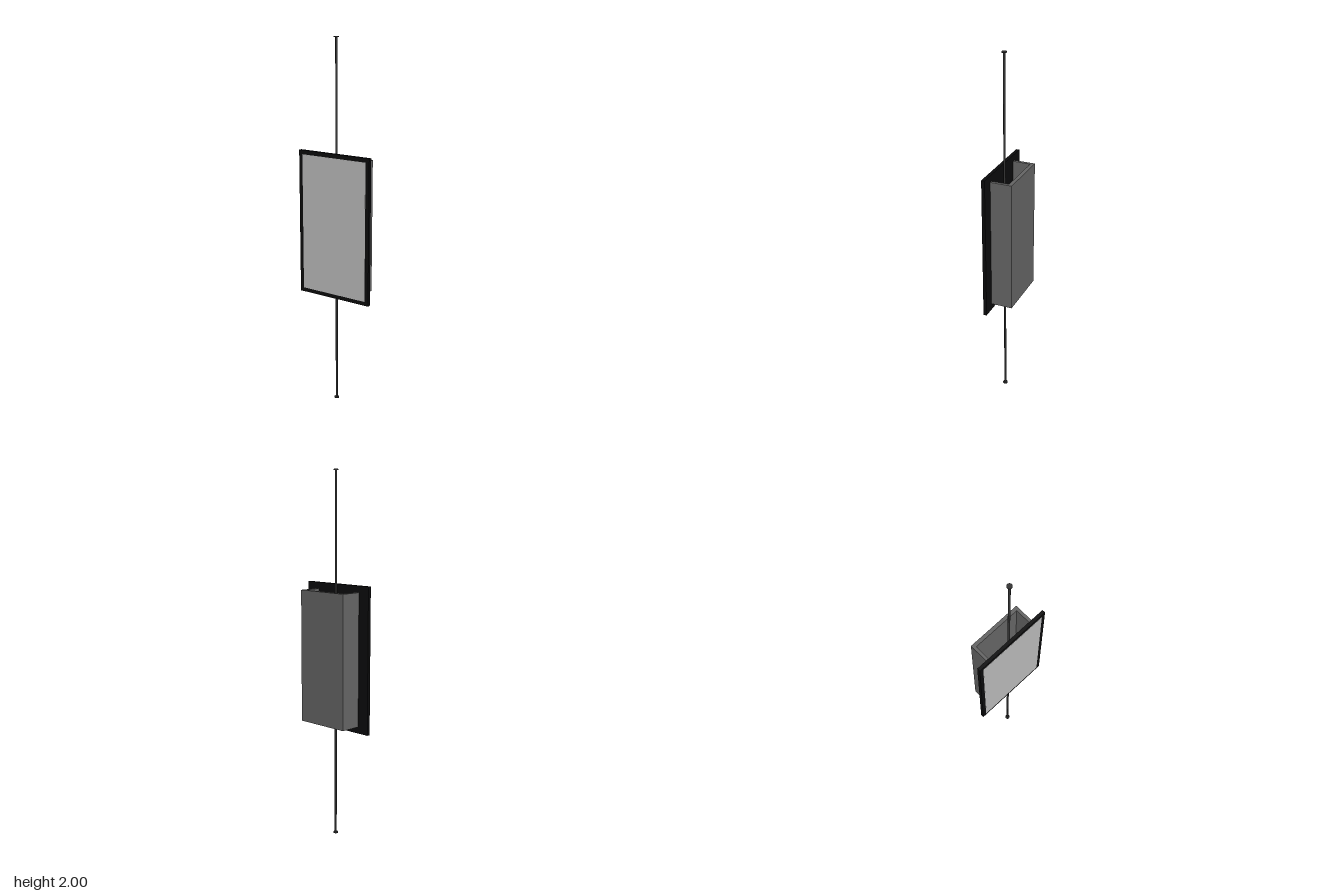
import * as THREE from 'three';
import { RoundedBoxGeometry } from 'three/addons/geometries/RoundedBoxGeometry.js';

const paint = (name, color) => {
  const m = new THREE.MeshStandardMaterial({ color });
  m.name = name;
  return m;
};

export function createModel() {
  const black = paint('black', 0x0b0b0c);
  const dark = paint('dark metal', 0x333333);
  const grey = paint('grey housing', 0x646464);
  const light = paint('screen grey', 0xb8b8b8);
  const group = new THREE.Group();

  const add = (name, geometry, material, x = 0, y = 0, z = 0) => {
    const mesh = new THREE.Mesh(geometry, material);
    mesh.name = name;
    mesh.position.set(x, y, z);
    group.add(mesh);
    return mesh;
  };
  // Box given by its extents on each axis
  const box = (name, material, [x0, x1], [y0, y1], [z0, z1]) =>
    add(name, new THREE.BoxGeometry(x1 - x0, y1 - y0, z1 - z0), material,
      (x0 + x1) / 2, (y0 + y1) / 2, (z0 + z1) / 2);

  // Display panel and its bright face
  box('displayPanel', black, [-0.224, 0.224], [0.604, 1.4], [0.047, 0.0655]);
  box('screen', light, [-0.202, 0.202], [0.626, 1.378], [0.062, 0.0665]);

  // Rear housing: a U-shaped channel, open above and below
  const outline = new THREE.Shape([
    [-0.157, -0.047], [-0.157, 0.071], [0.157, 0.071], [0.157, -0.047],
    [0.14, -0.047], [0.14, 0.05], [-0.14, 0.05], [-0.14, -0.047],
  ].map(([x, y]) => new THREE.Vector2(x, y)));
  const channel = new THREE.ExtrudeGeometry(outline, { depth: 0.725, bevelEnabled: false });
  channel.rotateX(-Math.PI / 2);
  add('rearHousing', channel, grey, 0, 0.64, 0);

  // Pole with a small disc at each end
  const poleZ = 0.036;
  add('pole', new THREE.CylinderGeometry(0.006, 0.006, 2, 16), dark, 0, 1, poleZ);
  for (const y of [0.003, 1.997])
    add('poleEnd', new THREE.CylinderGeometry(0.0135, 0.0135, 0.006, 24), dark, 0, y, poleZ);

  // Mounting bracket inside the housing
  box('mountPlate', dark, [-0.055, 0.055], [0.91, 1.09], [0.026, 0.044]);
  for (const s of [-1, 1])
    for (const y of [0.93, 1.07])
      add('mountArm', new THREE.BoxGeometry(0.033, 0.03, 0.018), dark, s * 0.0715, y, 0.035);

  // Electronics fixed behind the bracket
  add('mediaPlayer', new RoundedBoxGeometry(0.076, 0.12, 0.014, 3, 0.005), black, 0.041, 1, 0.019);
  box('powerSupply', black, [-0.064, -0.024], [0.94, 1.06], [-0.005, 0.026]);
  for (const z of [-0.004, 0.023])
    for (const x of [-0.061, -0.027])
      add('powerSupplyRail', new THREE.BoxGeometry(0.009, 0.124, 0.006), black, x, 1, z);

  return group;
}
